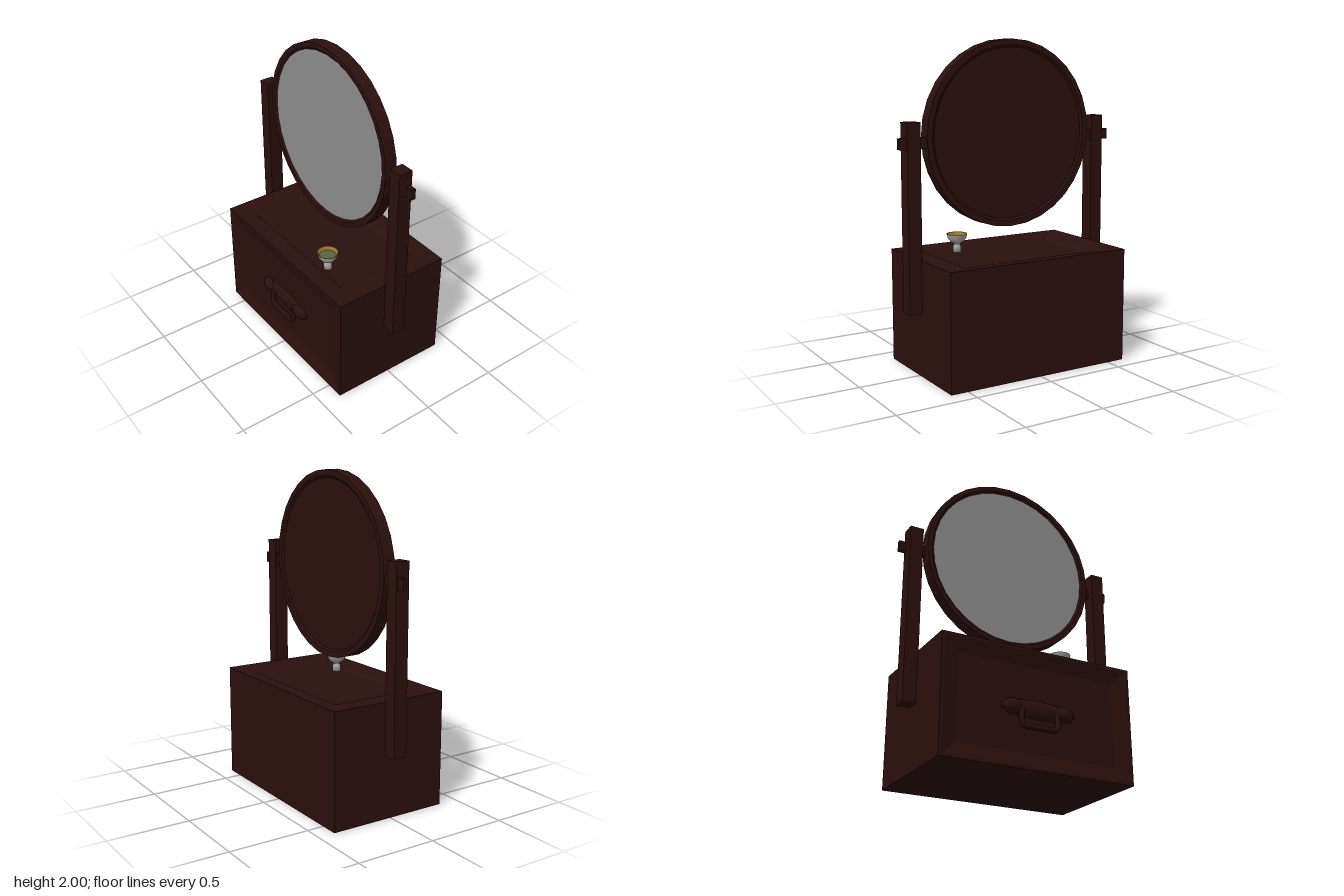
import * as THREE from 'three';

const wood = new THREE.MeshStandardMaterial({ color: 0x2a100e });
const glass = new THREE.MeshStandardMaterial({ color: 0x8c8c8c });
const silver = new THREE.MeshStandardMaterial({ color: 0xa8a8a8 });
const gold = new THREE.MeshStandardMaterial({ color: 0x94752c });
const oil = new THREE.MeshStandardMaterial({ color: 0x5c6640 });
wood.name = 'darkWood';
glass.name = 'mirrorGlass';
silver.name = 'silver';
gold.name = 'gold';
oil.name = 'greenOil';

function add(parent, name, geometry, material, x = 0, y = 0, z = 0) {
  const mesh = new THREE.Mesh(geometry, material);
  mesh.name = name;
  mesh.position.set(x, y, z);
  parent.add(mesh);
  return mesh;
}

function faceted(geometry) {
  const g = geometry.toNonIndexed();
  g.computeVertexNormals();
  return g;
}

function lathe(points, segments) {
  return new THREE.LatheGeometry(points.map(([r, y]) => new THREE.Vector2(r, y)), segments);
}

// Panel facing +z made of nested rectangles: [halfWidth, halfHeight, z]
function steppedPanel(rings) {
  const positions = [], index = [];
  for (const [w, h, z] of rings) positions.push(-w, -h, z, w, -h, z, w, h, z, -w, h, z);
  rings.forEach((_, i) => {
    const a = i * 4;
    if (i === rings.length - 1) {
      index.push(a, a + 1, a + 2, a, a + 2, a + 3);
      return;
    }
    for (let k = 0; k < 4; k++) {
      const p = a + k, q = a + (k + 1) % 4;
      index.push(p, q, q + 4, p, q + 4, p + 4);
    }
  });
  const g = new THREE.BufferGeometry();
  g.setAttribute('position', new THREE.Float32BufferAttribute(positions, 3));
  g.setIndex(index);
  return faceted(g);
}

export function createModel() {
  const model = new THREE.Group();
  model.name = 'dressingMirror';

  // Cabinet: six panels, with sunken top and drawer front
  const cabinet = new THREE.Group();
  cabinet.name = 'cabinet';
  cabinet.position.set(-0.003, 0.355, -0.01);
  model.add(cabinet);
  const W = 0.612, H = 0.355, D = 0.385;
  const drawer = [[W, H, D], [W - 0.02, H - 0.015, D], [0.5, 0.255, D - 0.025]];
  const tray = [[W, D, H], [W - 0.03, D - 0.02, H - 0.002], [0.46, 0.28, H - 0.012], [0.43, 0.25, H - 0.03]];
  add(cabinet, 'drawerFront', steppedPanel(drawer), wood);
  add(cabinet, 'trayTop', steppedPanel(tray), wood).rotation.x = -Math.PI / 2;
  add(cabinet, 'bottom', steppedPanel([[W, D, H]]), wood).rotation.x = Math.PI / 2;
  add(cabinet, 'back', steppedPanel([[W, H, D]]), wood).rotation.y = Math.PI;
  for (const s of [-1, 1]) {
    add(cabinet, s > 0 ? 'leftSide' : 'rightSide', steppedPanel([[D, H, W]]), wood).rotation.y = s * Math.PI / 2;
  }

  // Drawer pull: oval plate, two bosses and a hanging bail
  const pull = new THREE.Group();
  pull.name = 'drawerPull';
  pull.position.set(-0.005, 0.355, 0.35);
  model.add(pull);
  add(pull, 'pullPlate', new THREE.SphereGeometry(1, 28, 12), wood).scale.set(0.24, 0.055, 0.03);
  for (const s of [-1, 1]) {
    add(pull, 'pullBoss', new THREE.SphereGeometry(1, 14, 10), wood, s * 0.165, 0, 0.01).scale.set(0.065, 0.045, 0.033);
  }
  const bail = new THREE.CatmullRomCurve3(
    [[-0.1, 0, 0.01], [-0.115, -0.02, 0.022], [-0.115, -0.08, 0.026], [-0.095, -0.108, 0.026],
      [0.095, -0.108, 0.026], [0.115, -0.08, 0.026], [0.115, -0.02, 0.022], [0.1, 0, 0.01]]
      .map(p => new THREE.Vector3(...p)), false, 'catmullrom', 0.2);
  add(pull, 'pullBail', new THREE.TubeGeometry(bail, 40, 0.016, 8), wood);

  // Posts and pivot pins
  for (const s of [-1, 1]) {
    const side = s > 0 ? 'left' : 'right';
    add(model, side + 'Post', new THREE.BoxGeometry(0.085, 1.13, 0.088), wood, s * 0.65 - 0.003, 0.955, 0.002);
    add(model, side + 'Pivot', new THREE.BoxGeometry(0.19, 0.066, 0.026), wood, s * 0.645 - 0.003, 1.398, -0.018);
  }

  // Round mirror, leaning very slightly back
  const mirror = new THREE.Group();
  mirror.name = 'mirror';
  mirror.position.set(-0.008, 1.428, 0);
  mirror.rotation.x = -0.008;
  model.add(mirror);
  const rim = lathe([[0.52, -0.028], [0.535, -0.04], [0.57, -0.04], [0.57, 0.04], [0.54, 0.04], [0.525, 0.028]], 32);
  add(mirror, 'mirrorFrame', faceted(rim), wood).rotation.x = Math.PI / 2;
  add(mirror, 'mirrorGlass', new THREE.CircleGeometry(0.53, 32), glass, 0, 0, 0.029);
  add(mirror, 'mirrorBack', new THREE.CircleGeometry(0.53, 32), wood, 0, 0, -0.029).rotation.y = Math.PI;

  // Small footed cup on the tray
  const cup = new THREE.Group();
  cup.name = 'cup';
  cup.position.set(0.242, 0, 0.2);
  model.add(cup);
  const outer = [[0, 0.682], [0.026, 0.682], [0.026, 0.718], [0.017, 0.73], [0.022, 0.737], [0.043, 0.75], [0.058, 0.772], [0.065, 0.798]];
  const inner = [[0.065, 0.798], [0.06, 0.797], [0.052, 0.775], [0.038, 0.758], [0, 0.75]];
  add(cup, 'cupOutside', lathe(outer, 24), silver);
  add(cup, 'cupInside', lathe(inner, 24), gold);
  add(cup, 'cupContents', new THREE.CircleGeometry(0.053, 24), oil, 0, 0.776, 0).rotation.x = -Math.PI / 2;

  return model;
}
